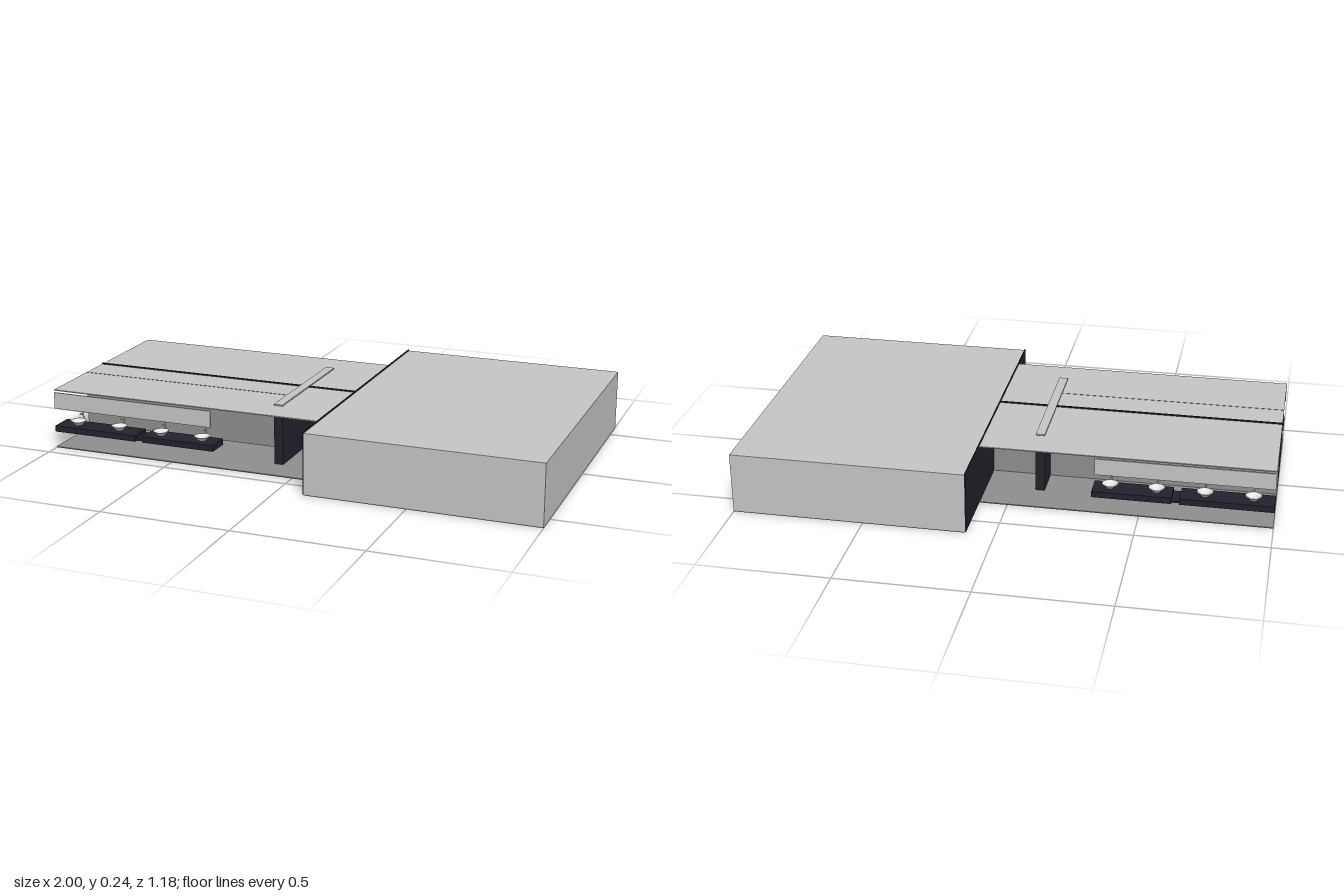
import * as THREE from 'three';

export function createModel() {
  const model = new THREE.Group();
  const mat = (name, color) => {
    const m = new THREE.MeshStandardMaterial({ color, side: THREE.DoubleSide });
    m.name = name;
    return m;
  };
  const light = mat('light grey', 0xc6c6c6);
  const mid = mat('mid grey', 0x908e8e);
  const dark = mat('dark slate', 0x22222d);
  const white = mat('basin white', 0xe4e4e4);

  // Box given by its min and max on each axis
  const box = (name, m, x0, x1, y0, y1, z0, z1, parent = model) => {
    const mesh = new THREE.Mesh(new THREE.BoxGeometry(x1 - x0, y1 - y0, z1 - z0), m);
    mesh.name = name;
    mesh.position.set((x0 + x1) / 2, (y0 + y1) / 2, (z0 + z1) / 2);
    parent.add(mesh);
    return mesh;
  };

  const roofY = 0.237, topY = 0.242, t = 0.004;
  const zBack = -0.355, zFront = 0.44;

  // Floors and roofs of the narrow wing and the wide hall
  box('wingFloor', mid, -1, 0.11, 0, t, zBack, zFront);
  box('hallFloor', mid, 0.11, 1, 0, t, -0.595, 0.59);
  box('wingRoof', light, -1, 0.11, roofY - t, roofY, zBack, zFront);
  box('hallRoof', light, 0.11, 1, roofY - t, roofY, -0.595, 0.59);

  // Hall walls
  box('hallFrontWall', light, 0.11, 1, t, roofY - t, 0.586, 0.59);
  box('hallBackWall', light, 0.11, 1, t, roofY - t, -0.595, -0.591);
  box('hallEndWall', light, 0.996, 1, t, roofY - t, -0.591, 0.586);
  box('hallInnerWall', light, 0.116, 0.996, t, roofY - t, 0.258, 0.262);
  box('hallEntranceWall', dark, 0.106, 0.11, t, topY, -0.595, 0.59);

  // Long walls in the wing
  box('frontPartition', mid, -1, -0.12, 0.02, roofY + 0.001, 0.178, 0.182);
  box('centralPartition', dark, -1, 0.106, t, topY, 0.047, 0.053);
  box('backPartition', mid, -1, 0.106, t, roofY - t, -0.087, -0.083);

  // Cross wall with its pale cap on the roof
  box('crossWall', dark, -0.12, -0.085, t, roofY + 0.001, -0.22, 0.32);
  box('crossWallCap', light, -0.12, -0.085, roofY + 0.001, topY, -0.22, 0.32);

  // Basin profile: narrow foot, wide rim, hollow inside
  const profile = [[0.001, 0], [0.014, 0], [0.03, 0.016], [0.031, 0.019], [0.027, 0.018], [0.012, 0.006], [0.001, 0.005]]
    .map(([r, y]) => new THREE.Vector2(r, y));
  const basinGeo = new THREE.LatheGeometry(profile, 20);
  const tapGeo = new THREE.CylinderGeometry(0.003, 0.003, 0.04, 8);

  // A washstand on each open side: boards, basins, taps and a hanging panel
  for (const [name, edge, s] of [['front', zFront, 1], ['back', zBack, -1]]) {
    const stand = new THREE.Group();
    stand.name = name + 'Washstand';
    model.add(stand);
    const strip = (n, m, x0, x1, y0, y1, a, b) =>
      box(n, m, x0, x1, y0, y1, Math.min(edge + s * a, edge + s * b), Math.max(edge + s * a, edge + s * b), stand);
    strip('counterOuter', dark, -1, -0.65, 0.066, 0.09, -0.09, 0.002);
    strip('counterInner', dark, -0.62, -0.32, 0.066, 0.09, -0.09, 0.002);
    strip('counterJoint', dark, -0.66, -0.61, 0.07, 0.078, -0.085, -0.002);
    strip('hangingPanel', light, -1, -0.33, 0.16, 0.225, -0.006, 0);
    for (const x of [-0.92, -0.74, -0.56, -0.385]) {
      const basin = new THREE.Mesh(basinGeo, white);
      basin.name = 'basin';
      basin.position.set(x, 0.09, edge - s * 0.042);
      const tap = new THREE.Mesh(tapGeo, white);
      tap.name = 'tap';
      tap.position.set(x, 0.11, edge - s * 0.08);
      const spout = box('tapSpout', white, x - 0.003, x + 0.003, 0.125, 0.13, 0, 0.025, stand);
      spout.position.z = edge - s * 0.068;
      stand.add(basin, tap);
    }
  }
  return model;
}
